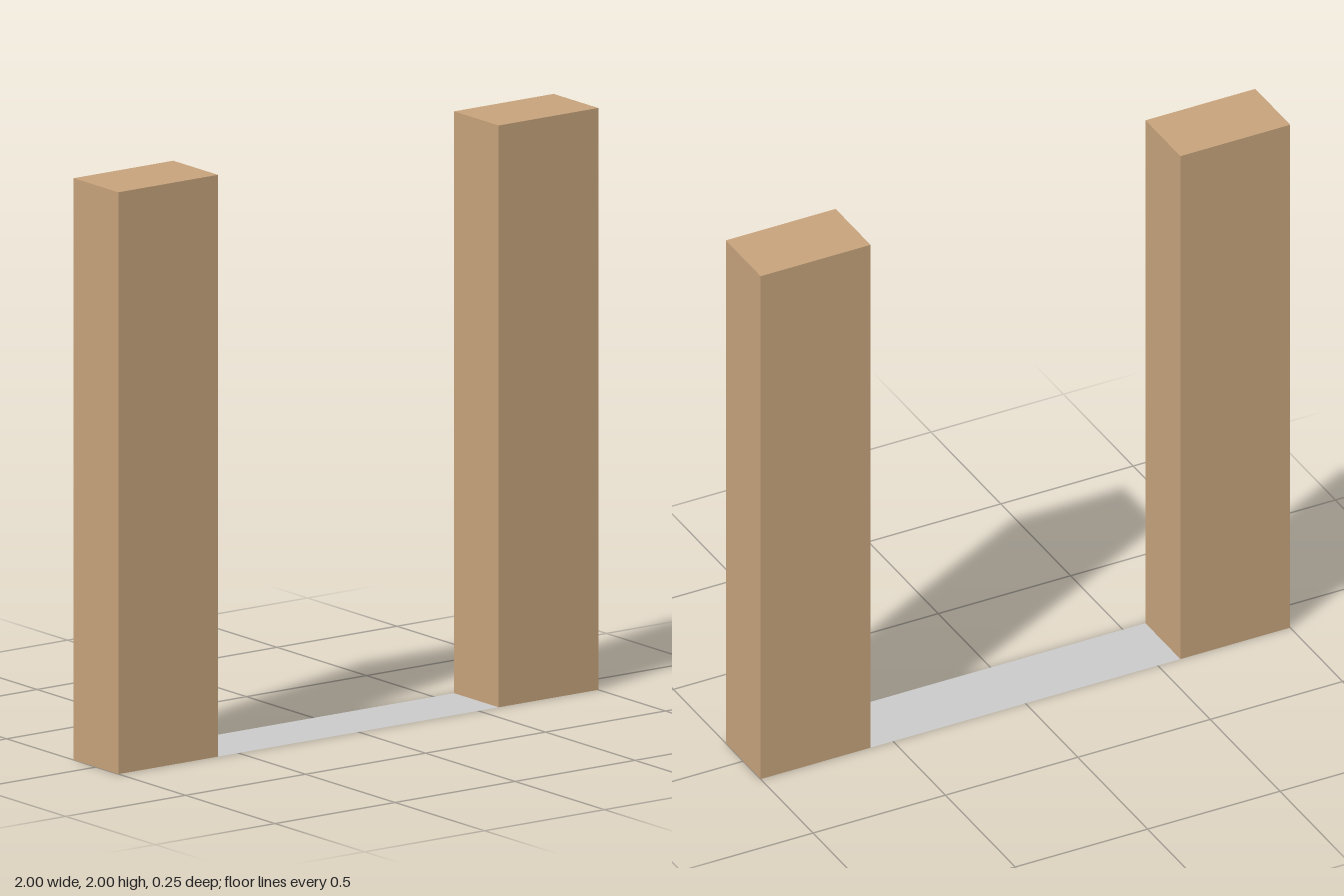
import * as THREE from 'three';

export function createModel() {
  const model = new THREE.Group();
  model.name = 'gateway';

  const wood = new THREE.MeshStandardMaterial({ color: 0xc6a37b });
  wood.name = 'tan wood';
  const stone = new THREE.MeshStandardMaterial({ color: 0xcacaca, side: THREE.DoubleSide });
  stone.name = 'light grey';

  const height = 2, depth = 0.25, inner = 0.585, width = 1 - inner;

  // Pair of tall posts
  for (const [name, side] of [['leftPost', 1], ['rightPost', -1]]) {
    const post = new THREE.Mesh(new THREE.BoxGeometry(width, height, depth), wood);
    post.name = name;
    post.position.set(side * (inner + width / 2), height / 2, 0);
    model.add(post);
  }

  // Flat threshold strip between the posts
  const threshold = new THREE.Mesh(new THREE.PlaneGeometry(inner * 2, depth), stone);
  threshold.name = 'threshold';
  threshold.rotation.x = -Math.PI / 2;
  model.add(threshold);

  return model;
}
